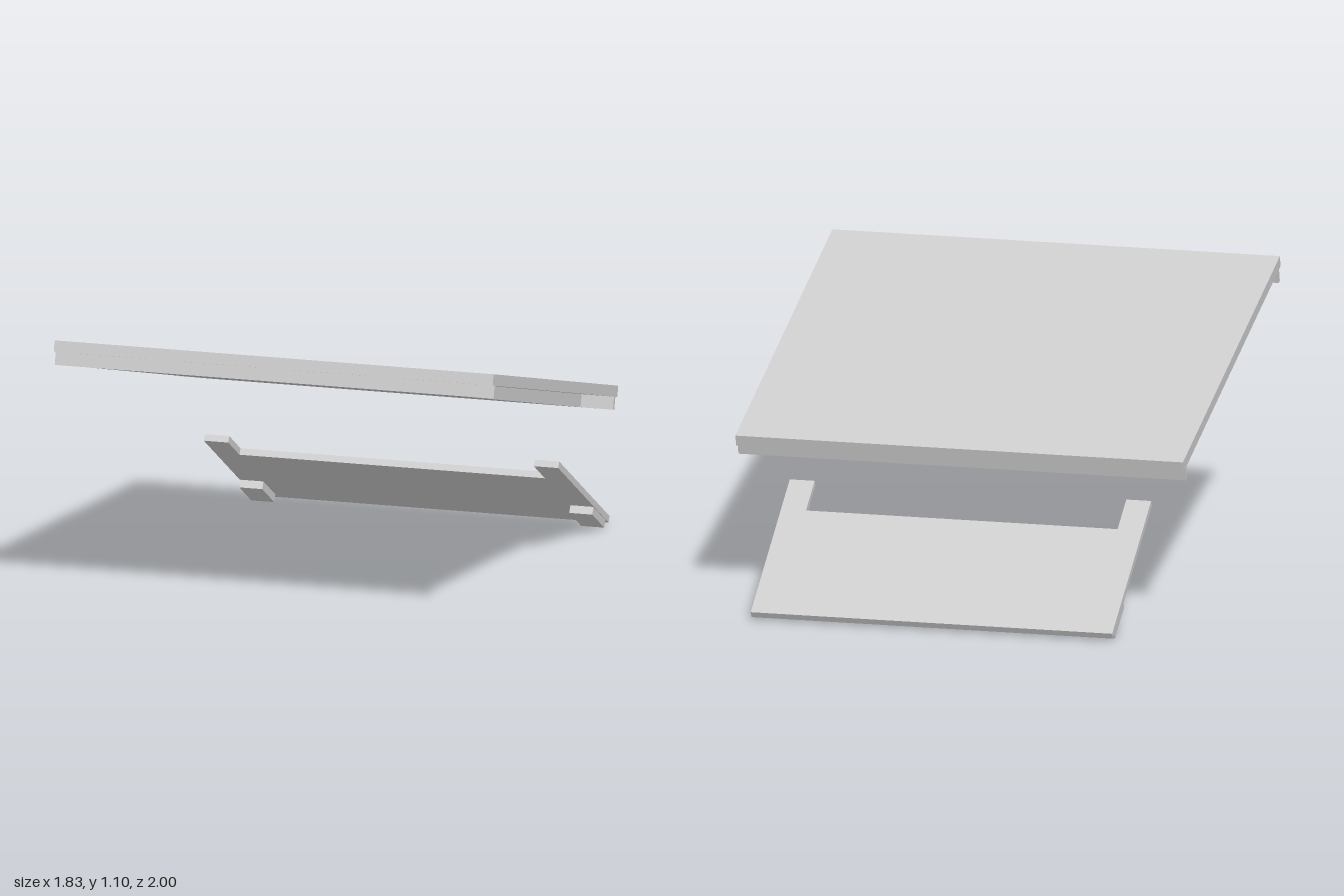
import * as THREE from 'three';

const material = new THREE.MeshStandardMaterial({ color: 0xcccccc, flatShading: true });

// Flat plate: outline points are (x, z), extruded downward from y = top.
function plate(name, outline, top, thickness) {
  const shape = new THREE.Shape(outline.map(([x, z]) => new THREE.Vector2(x, z)));
  const geometry = new THREE.ExtrudeGeometry(shape, { depth: thickness, bevelEnabled: false });
  geometry.rotateX(Math.PI / 2);
  geometry.translate(0, top, 0);
  const mesh = new THREE.Mesh(geometry, material);
  mesh.name = name;
  return mesh;
}

const rectangle = (x0, x1, z0, z1) => [[x0, z0], [x1, z0], [x1, z1], [x0, z1]];

// Group hinged at its raised front top edge, sloping down to the back.
function slopedGroup(name, degrees, y, z) {
  const group = new THREE.Group();
  group.name = name;
  group.rotation.x = -THREE.MathUtils.degToRad(degrees);
  group.position.set(0, y, z);
  return group;
}

export function createModel() {
  const model = new THREE.Group();
  model.name = 'slopedPanels';

  // Large upper panel: thin top over a core with a slot along each side
  const upper = slopedGroup('upperPanel', 15, 1.102, 0.988);
  const w = 0.915, inner = 0.78, length = 1.697;
  const front = -0.027, back = -length + 0.027;
  const slotFront = -0.046, slotBack = -length + 0.046;
  upper.add(plate('topBoard', rectangle(-w, w, -length, 0), 0, 0.045));
  upper.add(plate('core', [
    [-w, back], [w, back], [w, slotBack], [inner, slotBack],
    [inner, slotFront], [w, slotFront], [w, front], [-w, front],
    [-w, slotFront], [-inner, slotFront], [-inner, slotBack], [-w, slotBack],
  ], -0.045, 0.052));
  model.add(upper);

  // Small lower panel: U-shaped plate with two arms reaching forward
  const lower = slopedGroup('lowerPanel', 30, 0.415, -0.34);
  const left = 0.768, right = -0.71, arm = 0.102, notch = -0.17;
  lower.add(plate('lowerBoard', [
    [right, -0.762], [left, -0.762], [left, 0], [left - arm, 0],
    [left - arm, notch], [right + arm, notch], [right + arm, 0], [right, 0],
  ], 0, 0.027));

  // Feet under the lower board's back corners
  lower.add(plate('leftFoot', rectangle(left - arm + 0.003, left - 0.003, -0.727, -0.545), -0.027, 0.032));
  lower.add(plate('rightFoot', rectangle(right + 0.003, right + arm - 0.003, -0.727, -0.545), -0.027, 0.032));
  model.add(lower);

  return model;
}
